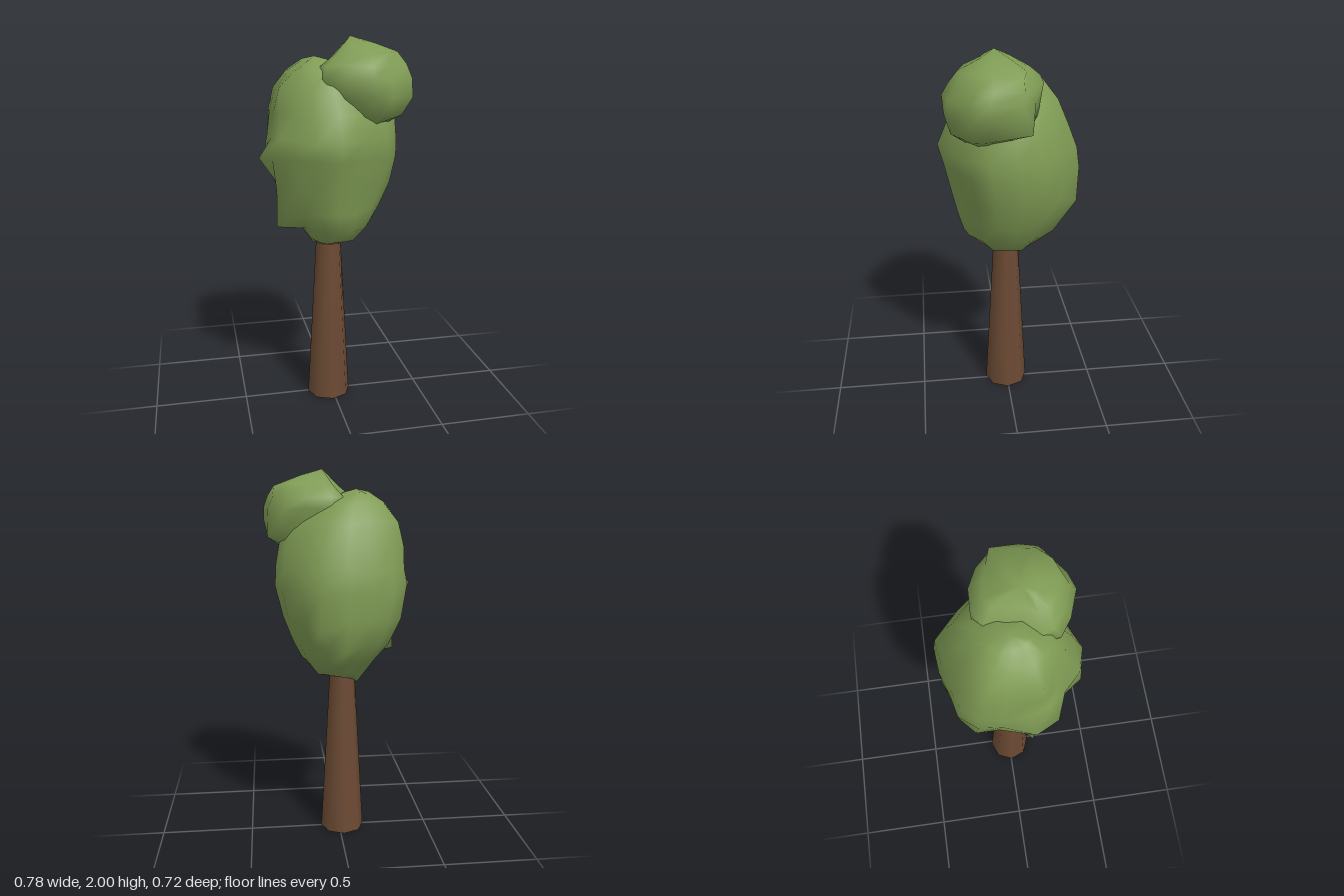
import * as THREE from 'three';

// Lumpy closed form: one plan outline [x, z], stretched to fit each ring [y, xMin, xMax, zMin, zMax].
// Each peak draws its nearest ring vertex out to a point.
function clumpGeometry({ outline, rings, bottom, top, lump, peaks }) {
  const xs = outline.map(p => p[0]), zs = outline.map(p => p[1]);
  const x0 = Math.min(...xs), x1 = Math.max(...xs);
  const z0 = Math.min(...zs), z1 = Math.max(...zs);
  const n = outline.length, points = [], index = [];

  rings.forEach(([y, xa, xb, za, zb], i) => {
    const cx = (xa + xb) / 2, cz = (za + zb) / 2;
    outline.forEach(([px, pz], j) => {
      const s = 1 + lump * Math.sin(j * 2.3 + i * 1.7);
      const x = THREE.MathUtils.mapLinear(px, x0, x1, xa, xb);
      const z = THREE.MathUtils.mapLinear(pz, z0, z1, za, zb);
      points.push(new THREE.Vector3(
        cx + (x - cx) * s, y + lump * 0.4 * Math.sin(j * 1.9 + i), cz + (z - cz) * s));
    });
  });

  for (const p of peaks) {
    const peak = new THREE.Vector3(...p);
    points.reduce((a, b) => (b.distanceTo(peak) < a.distanceTo(peak) ? b : a)).copy(peak);
  }

  points.push(new THREE.Vector3(...bottom), new THREE.Vector3(...top));
  const low = rings.length * n, high = low + 1, last = (rings.length - 1) * n;
  for (let j = 0; j < n; j++) {
    const k = (j + 1) % n;
    for (let i = 0; i < rings.length - 1; i++) {
      const a = i * n + j, b = i * n + k;
      index.push(a, b, b + n, a, b + n, a + n);
    }
    index.push(low, k, j, high, last + j, last + k);
  }
  const geo = new THREE.BufferGeometry().setFromPoints(points);
  geo.setIndex(index);
  geo.computeVertexNormals();
  return geo;
}

export function createModel() {
  const group = new THREE.Group();
  const bark = new THREE.MeshStandardMaterial({ color: 0x6b4a33 });
  bark.name = 'bark';
  const leaf = new THREE.MeshStandardMaterial({ color: 0x7f9b54 });
  leaf.name = 'leaf';

  const add = (name, geo, mat) => {
    const mesh = new THREE.Mesh(geo, mat);
    mesh.name = name;
    group.add(mesh);
    return mesh;
  };

  // Tapered trunk
  add('trunk', new THREE.CylinderGeometry(0.069, 0.12, 0.91, 8), bark)
    .position.set(-0.019, 0.455, 0.004);

  // Tall main crown, with a pointed right flank and a sharp lower corner
  add('mainCrown', clumpGeometry({
    outline: [
      [-0.335, 0.05], [-0.31, 0.16], [-0.24, 0.24], [-0.15, 0.33], [-0.02, 0.355], [0.1, 0.31],
      [0.25, 0.22], [0.325, 0.12], [0.335, -0.02], [0.3, -0.15], [0.21, -0.25], [0.115, -0.355],
      [-0.02, -0.345], [-0.14, -0.31], [-0.25, -0.275], [-0.33, -0.195], [-0.34, -0.07],
    ],
    rings: [
      [0.935, -0.12, 0.13, -0.15, 0.14],
      [1.02, -0.18, 0.20, -0.24, 0.24],
      [1.12, -0.25, 0.25, -0.305, 0.265],
      [1.25, -0.305, 0.305, -0.345, 0.29],
      [1.40, -0.335, 0.338, -0.355, 0.33],
      [1.50, -0.33, 0.33, -0.34, 0.345],
      [1.62, -0.32, 0.315, -0.30, 0.30],
      [1.74, -0.295, 0.25, -0.25, 0.25],
      [1.83, -0.23, 0.13, -0.18, 0.18],
      [1.88, -0.15, -0.02, -0.11, 0.09],
    ],
    bottom: [-0.07, 0.89, -0.04],
    top: [-0.09, 1.9, -0.01],
    lump: 0.015,
    peaks: [
      [-0.395, 1.4, 0.08], [-0.31, 1.03, 0.085], [-0.31, 1.23, 0.1], [-0.34, 1.41, 0.195],
      [-0.02, 1.5, 0.357], [-0.15, 1.42, 0.335], [-0.29, 1.75, 0.11], [-0.175, 1.855, 0.13],
      [0.13, 1.215, -0.35], [0.0, 1.1, -0.335], [-0.09, 0.885, -0.08], [-0.33, 1.43, -0.195],
    ],
  }), leaf);

  // Smaller upper clump, toward the front left
  add('upperClump', clumpGeometry({
    outline: [
      [-0.1, 0.16], [-0.08, 0.22], [0.0, 0.28], [0.14, 0.33], [0.23, 0.3], [0.37, 0.21],
      [0.39, 0.12], [0.37, -0.04], [0.29, -0.11], [0.18, -0.15], [0.05, -0.16],
      [-0.02, -0.11], [-0.05, 0.07],
    ],
    rings: [
      [1.575, 0.10, 0.26, -0.01, 0.22],
      [1.62, 0.06, 0.33, -0.09, 0.29],
      [1.71, -0.04, 0.388, -0.14, 0.325],
      [1.80, -0.10, 0.388, -0.155, 0.33],
      [1.86, -0.085, 0.365, -0.155, 0.29],
      [1.92, -0.01, 0.31, -0.10, 0.25],
      [1.965, 0.04, 0.20, -0.01, 0.15],
    ],
    bottom: [0.19, 1.56, 0.1],
    top: [0.08, 2.0, 0.07],
    lump: 0.015,
    peaks: [
      [0.335, 1.915, -0.04], [0.37, 1.66, -0.08], [0.18, 1.855, -0.155], [0.39, 1.74, 0.12],
      [0.05, 1.86, -0.16], [0.24, 1.92, 0.23],
    ],
  }), leaf);

  return group;
}
